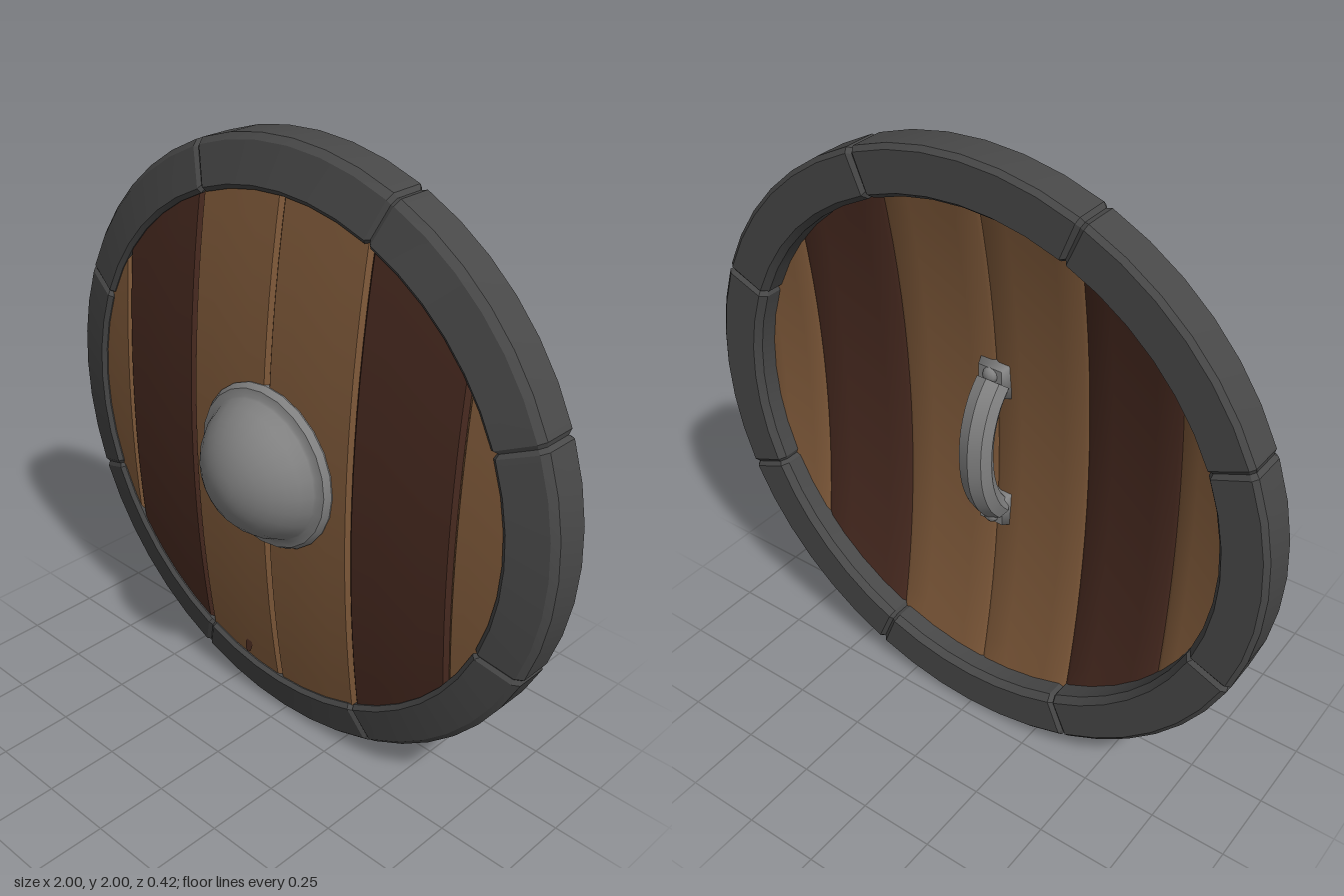
import * as THREE from 'three';
import { toCreasedNormals } from 'three/addons/utils/BufferGeometryUtils.js';

const material = (name, color) => {
  const m = new THREE.MeshStandardMaterial({ color });
  m.name = name;
  return m;
};

// Front and back of the domed wood at a point measured from the shield centre
const frontZ = (x, y) => 0.025 - 0.1 * (x * x + y * y);
const backZ = (x, y) => -0.036 - 0.13 * (x * x + y * y);

// One plank: a box bent onto the dome, trimmed to the circle, with chamfered long edges
function plankGeometry([frontX0, backX0], [frontX1, backX1]) {
  const R = 0.875, cols = 6, chamfer = 0.012;
  const geo = new THREE.BoxGeometry(1, 1, 1, cols, 16, 1);
  const p = geo.attributes.position;
  for (let i = 0; i < p.count; i++) {
    const col = Math.round((p.getX(i) + 0.5) * cols);
    const edge = col === 0 || col === cols;
    const front = p.getZ(i) > 0;
    const x0 = front ? frontX0 : backX0, x1 = front ? frontX1 : backX1;
    const x = col === 0 ? x0 : col === cols ? x1
      : x0 + chamfer + ((col - 1) / (cols - 2)) * (x1 - x0 - 2 * chamfer);
    const y = p.getY(i) * 2 * Math.sqrt(Math.max(0, R * R - x * x));
    const z = front ? frontZ(x, y) - (edge ? 0.012 : 0) : backZ(x, y) + (edge ? 0.006 : 0);
    p.setXYZ(i, x, y, z);
  }
  return toCreasedNormals(geo, 0.5);
}

// One rim block: a bevelled section swept along an arc, pinched at both ends
function rimGeometry(start, sweep) {
  const section = [[1, -0.195], [1, -0.085], [0.982, -0.064], [0.86, -0.031],
    [0.845, -0.042], [0.845, -0.185], [0.862, -0.208], [0.985, -0.208]];
  const stops = [0, 0.018, 0.18, 0.34, 0.5, 0.66, 0.82, 0.982, 1];
  const n = section.length, pos = [], index = [];
  stops.forEach((t, i) => {
    const k = i === 0 || i === stops.length - 1 ? 0.88 : 1;
    const a = start + sweep * t;
    for (const [sr, sz] of section) {
      const r = 0.925 + (sr - 0.925) * k;
      pos.push(Math.cos(a) * r, Math.sin(a) * r, -0.12 + (sz + 0.12) * k);
    }
  });
  for (let i = 0; i < stops.length - 1; i++) {
    for (let j = 0; j < n; j++) {
      const a = i * n + j, b = i * n + (j + 1) % n;
      index.push(a, a + n, b + n, a, b + n, b);
    }
  }
  const last = (stops.length - 1) * n;
  for (let j = 1; j < n - 1; j++) {
    index.push(0, j, j + 1, last, last + j + 1, last + j);
  }
  const geo = new THREE.BufferGeometry();
  geo.setAttribute('position', new THREE.Float32BufferAttribute(pos, 3));
  geo.setIndex(index);
  return toCreasedNormals(geo, 0.4);
}

export function createModel() {
  const lightWood = material('light wood', 0x805a3a);
  const darkWood = material('dark wood', 0x482a20);
  const iron = material('dark iron', 0x484848);
  const steel = material('steel', 0x828282);

  const shield = new THREE.Group();
  shield.name = 'roundShield';
  shield.position.y = 1;
  const add = (parent, name, geo, mat, x = 0, y = 0, z = 0) => {
    const mesh = new THREE.Mesh(geo, mat);
    mesh.name = name;
    mesh.position.set(x, y, z);
    parent.add(mesh);
    return mesh;
  };

  // Six vertical planks, each seam given as its front and back position
  const seams = [[-0.87, -0.87], [-0.69, -0.66], [-0.335, -0.335], [0, 0],
    [0.335, 0.335], [0.69, 0.66], [0.87, 0.87]];
  for (let i = 0; i < 6; i++) {
    const dark = i === 1 || i === 4;
    add(shield, 'plank', plankGeometry(seams[i], seams[i + 1]), dark ? darkWood : lightWood);
  }

  // Small wood knot near the bottom
  const knot = add(shield, 'woodKnot', new THREE.CircleGeometry(0.016, 8), darkWood,
    -0.14, -0.78, frontZ(-0.14, -0.78) + 0.004);
  knot.scale.y = 2;
  knot.rotation.x = -0.155;

  // Eight rim blocks
  for (let i = 0; i < 8; i++) {
    add(shield, 'rimBlock', rimGeometry(Math.PI / 8 + (i * Math.PI) / 4, Math.PI / 4), iron);
  }

  // Boss: flange and spherical cap turned around the front axis
  const profile = [[0.27, -0.01], [0.275, 0.022], [0.262, 0.042], [0.238, 0.047]];
  const capRadius = 0.25, capAngle = Math.asin(0.232 / capRadius);
  for (let i = 0; i <= 7; i++) {
    const a = capAngle * (1 - i / 7);
    profile.push([capRadius * Math.sin(a), 0.21 - capRadius * (1 - Math.cos(a))]);
  }
  const bossGeo = new THREE.LatheGeometry(
    profile.map(([r, h]) => new THREE.Vector2(r, h)), 24);
  bossGeo.rotateX(Math.PI / 2);
  add(shield, 'boss', toCreasedNormals(bossGeo, 0.7), steel);

  // Handle on the back: bowed grip, two end plates and rivets
  const handle = new THREE.Group();
  handle.name = 'handle';
  shield.add(handle);
  const path = new THREE.CatmullRomCurve3([[-0.23, -0.06], [-0.18, -0.102], [-0.09, -0.138],
    [0, -0.147], [0.09, -0.138], [0.18, -0.102], [0.23, -0.06]]
    .map(([y, z]) => new THREE.Vector3(0, y, z)));
  const grip = add(handle, 'grip',
    toCreasedNormals(new THREE.TubeGeometry(path, 16, 0.046, 8), 0.6), steel);
  grip.scale.x = 1.25;
  for (const s of [-1, 1]) {
    const plate = add(handle, 'handlePlate',
      new THREE.CylinderGeometry(0.06, 0.08, 0.04, 4, 1).rotateY(Math.PI / 4).rotateX(-Math.PI / 2),
      steel, 0, s * 0.24, -0.055);
    plate.scale.y = 1.1;
    const rivet = add(handle, 'handleRivet', new THREE.SphereGeometry(0.026, 10, 6), steel,
      0, s * 0.262, -0.075);
    rivet.scale.z = 0.7;
  }

  const model = new THREE.Group();
  model.name = 'shield';
  model.add(shield);
  return model;
}
